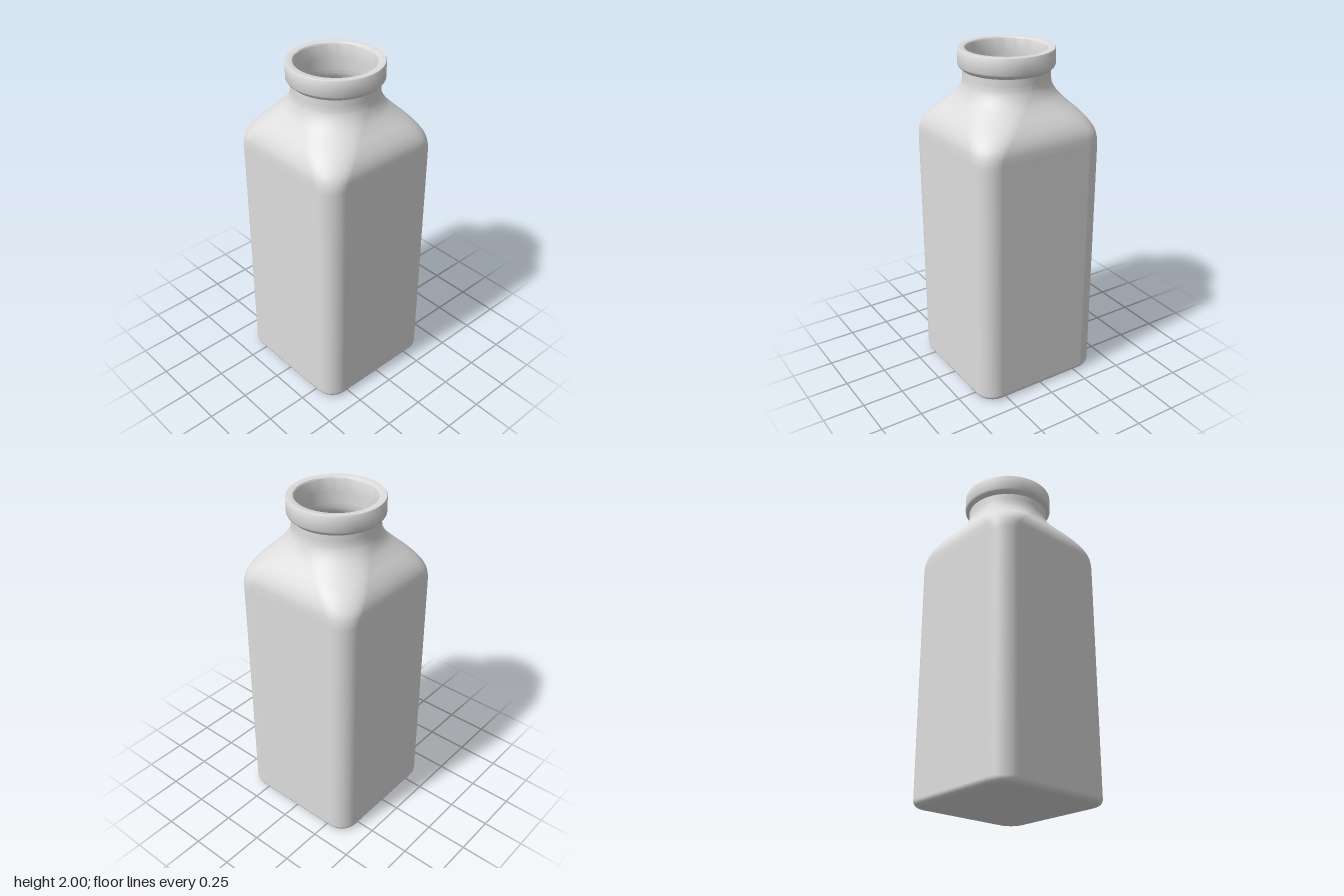
import * as THREE from 'three';
import { mergeVertices, toCreasedNormals } from 'three/addons/utils/BufferGeometryUtils.js';

const ARC = 14; // steps per rounded corner

// Rounded-square ring: half-width w, corner radius r (a circle when r equals w)
function ring(y, w, r) {
  const points = [];
  const c = w - r;
  for (let q = 0; q < 4; q++) {
    const mid = (q + 0.5) * Math.PI / 2;
    const cx = Math.sign(Math.cos(mid)) * c;
    const cz = -Math.sign(Math.sin(mid)) * c;
    for (let i = 0; i <= ARC; i++) {
      const a = (q + i / ARC) * Math.PI / 2;
      points.push(cx + r * Math.cos(a), y, cz - r * Math.sin(a));
    }
  }
  return points;
}

// Loft the sections upwards and close the lowest one; inward flips the faces
function loft(sections, inward) {
  const n = 4 * (ARC + 1);
  const positions = sections.flatMap(([y, w, r]) => ring(y, w, r));
  const index = [];
  const tri = (a, b, c) => (inward ? index.push(a, c, b) : index.push(a, b, c));
  for (let i = 0; i < sections.length - 1; i++) {
    for (let j = 0; j < n; j++) {
      const k = (j + 1) % n;
      const a = i * n + j, b = i * n + k;
      tri(a, b, b + n);
      tri(a, b + n, a + n);
    }
  }
  const centre = positions.length / 3;
  positions.push(0, sections[0][0], 0);
  for (let j = 0; j < n; j++) tri(centre, (j + 1) % n, j);

  let geometry = new THREE.BufferGeometry();
  geometry.setAttribute('position', new THREE.Float32BufferAttribute(positions, 3));
  geometry.setIndex(index);
  geometry = mergeVertices(geometry, 1e-5);
  geometry.computeVertexNormals();
  return geometry;
}

// Shoulder from square body to round neck, as [height, half-width, corner radius]
function shoulder() {
  const keys = [
    [1.46, 0.4, 0.115], [1.5, 0.4, 0.12], [1.55, 0.396, 0.14], [1.6, 0.378, 0.17],
    [1.65, 0.345, 0.195], [1.7, 0.303, 0.215], [1.75, 0.268, 0.232],
    [1.8, 0.25, 0.245], [1.84, 0.245, 0.245],
  ];
  const curve = new THREE.CatmullRomCurve3(keys.map((k) => new THREE.Vector3(...k)));
  return curve.getPoints(32).map((p) => [p.x, p.y, Math.min(p.y, p.z)]);
}

// Rounded foot running from the flat base into the walls
function foot(y0, w, r, fillet) {
  const out = [];
  for (let i = 0; i <= 6; i++) {
    const a = (i / 6) * Math.PI / 2;
    const inset = fillet * (1 - Math.sin(a));
    out.push([y0 + fillet * (1 - Math.cos(a)), w - inset, r - inset]);
  }
  return out;
}

export function createModel() {
  const group = new THREE.Group();
  const glass = new THREE.MeshStandardMaterial({ color: 0xdddddd });
  glass.name = 'pale grey';
  const add = (name, geometry) => {
    const mesh = new THREE.Mesh(geometry, glass);
    mesh.name = name;
    group.add(mesh);
  };

  const wall = 0.02;
  const slope = shoulder();

  // Outer body, shoulder and neck
  add('bottleBody', loft([...foot(0, 0.4, 0.115, 0.035), ...slope, [1.885, 0.245, 0.245]], false));

  // Hollow inside with a flat floor
  const inner = slope.map(([y, w, r]) => [y, w - wall, r - wall]);
  add('bottleInside', loft([...foot(0.03, 0.38, 0.095, 0.03), ...inner, [1.9, 0.225, 0.225]], true));

  // Thick collar around the mouth
  const profile = [
    [0.245, 1.88], [0.25, 1.886], [0.265, 1.898], [0.27, 1.908], [0.27, 1.996], [0.267, 2],
    [0.234, 2], [0.228, 1.997], [0.225, 1.99], [0.225, 1.9],
  ].map(([x, y]) => new THREE.Vector2(x, y));
  add('mouthRim', toCreasedNormals(new THREE.LatheGeometry(profile, 64), 0.8));

  return group;
}
